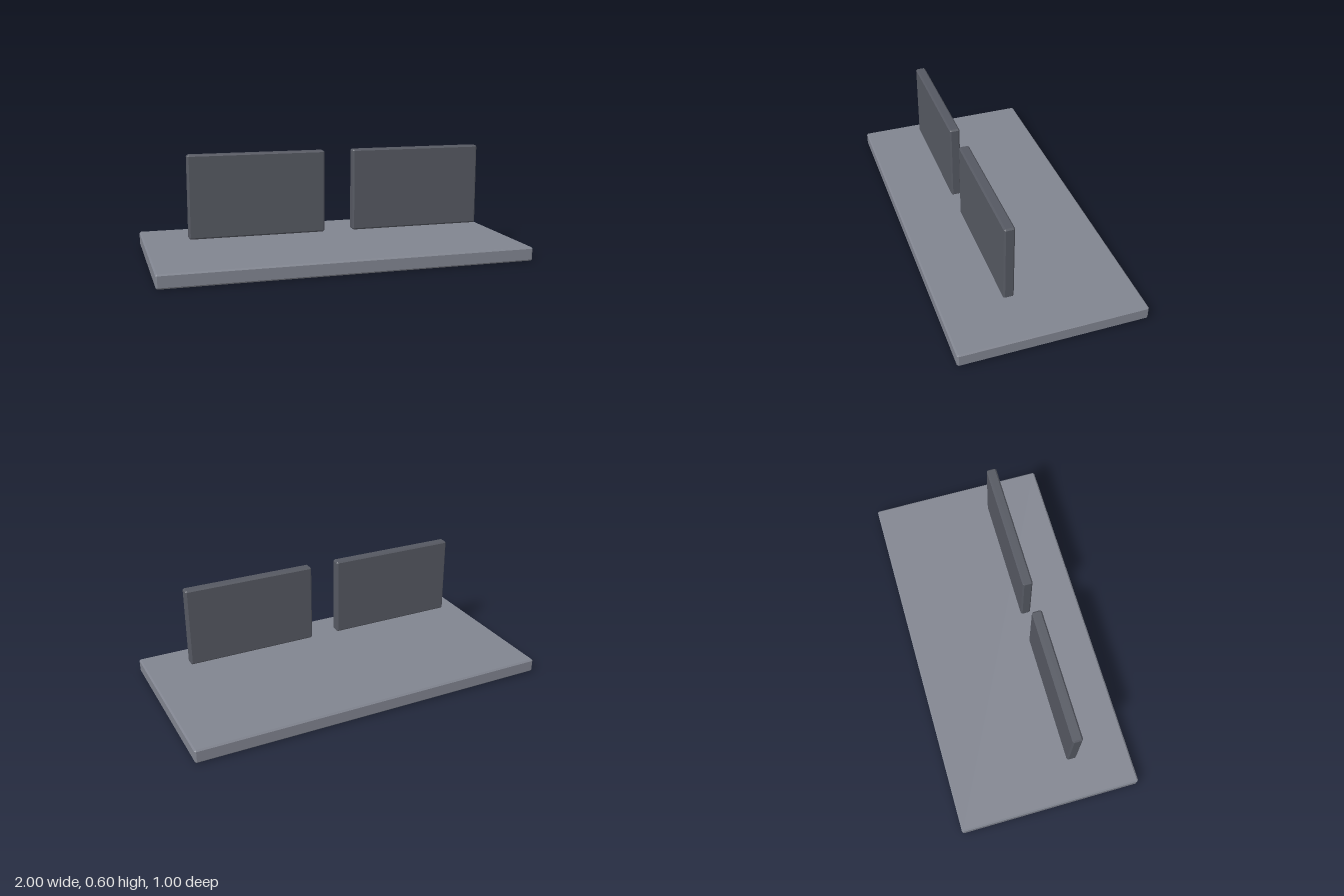
import * as THREE from 'three';
import { ConvexGeometry } from 'three/addons/geometries/ConvexGeometry.js';

// Box with every edge cut by a flat chamfer
function chamferedBox(width, height, depth, chamfer) {
  const half = [width / 2, height / 2, depth / 2];
  const points = [];
  for (const sx of [-1, 1]) for (const sy of [-1, 1]) for (const sz of [-1, 1]) {
    const sign = [sx, sy, sz];
    for (let face = 0; face < 3; face++) {
      points.push(new THREE.Vector3(...half.map((h, i) => sign[i] * (i === face ? h : h - chamfer))));
    }
  }
  return new ConvexGeometry(points);
}

export function createModel() {
  const model = new THREE.Group();
  const slabGrey = new THREE.MeshStandardMaterial({ color: 0x80848f });
  slabGrey.name = 'slab grey';
  const panelGrey = new THREE.MeshStandardMaterial({ color: 0x555861 });
  panelGrey.name = 'panel dark grey';

  // Flat slab
  const slab = new THREE.Mesh(chamferedBox(2, 0.075, 1, 0.008), slabGrey);
  slab.name = 'slab';
  slab.position.y = 0.0375;
  model.add(slab);

  // Pair of upright panels floating above the slab
  const panelGeometry = chamferedBox(0.72, 0.435, 0.055, 0.008);
  for (const side of [-1, 1]) {
    const panel = new THREE.Mesh(panelGeometry, panelGrey);
    panel.name = side > 0 ? 'leftPanel' : 'rightPanel';
    panel.position.set(side * 0.438, 0.382, 0.172);
    model.add(panel);
  }
  return model;
}
